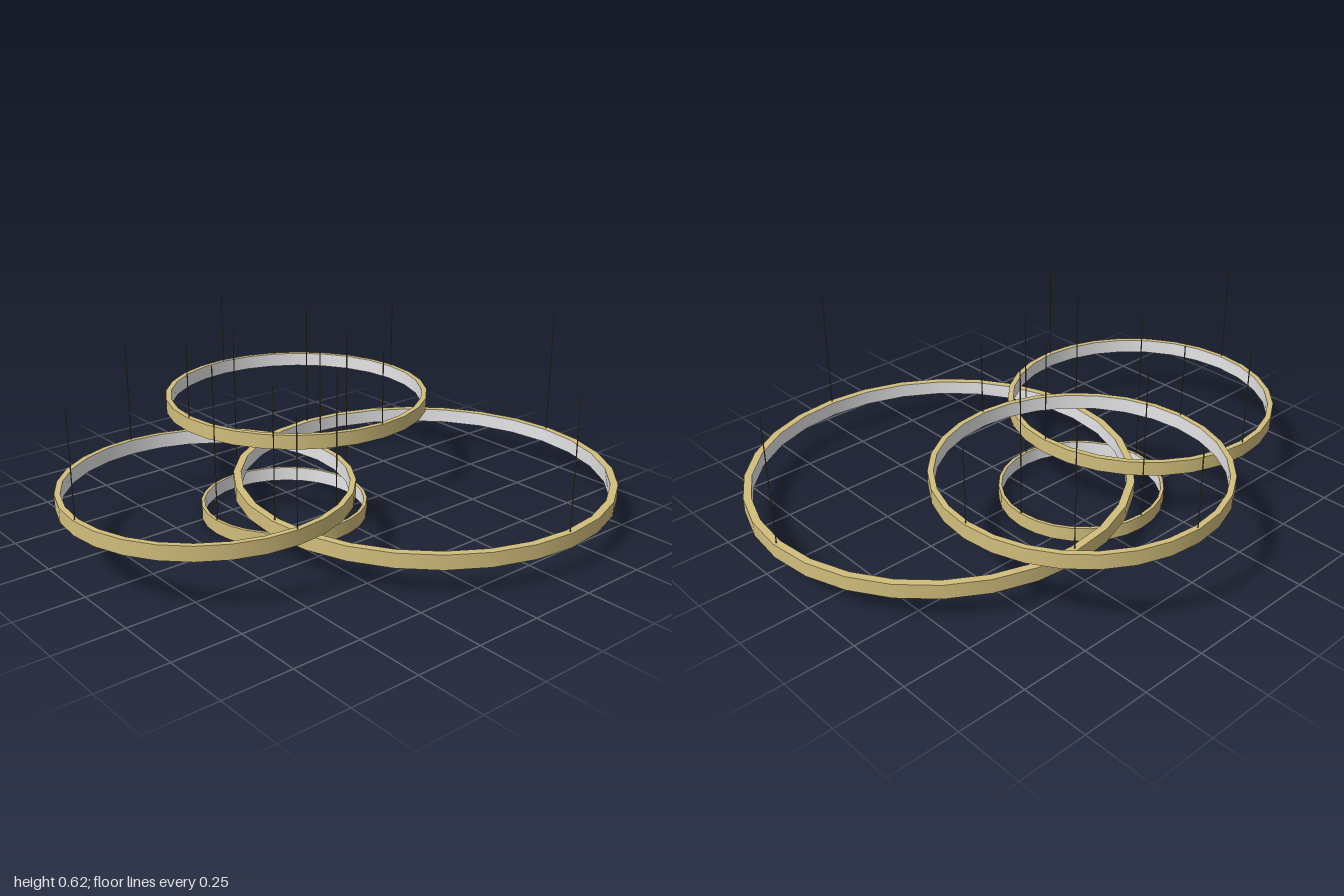
import * as THREE from 'three';
import { mergeGeometries } from 'three/addons/utils/BufferGeometryUtils.js';

const SIDES = 28;
const CEILING = 0.62;

// One face of a ring, swept between two (radius, height) points
function band(r0, y0, r1, y1) {
  return new THREE.LatheGeometry([new THREE.Vector2(r0, y0), new THREE.Vector2(r1, y1)], SIDES);
}

export function createModel() {
  const gold = new THREE.MeshStandardMaterial({ color: 0xd2be7c });
  gold.name = 'brushedGold';
  const diffuser = new THREE.MeshStandardMaterial({ color: 0xe6e6e8 });
  diffuser.name = 'whiteDiffuser';
  const cable = new THREE.MeshStandardMaterial({ color: 0x6b6148 });
  cable.name = 'darkCable';

  const model = new THREE.Group();
  model.name = 'ringChandelier';

  const rings = [
    { name: 'topRing', x: 0.15, z: -0.375, y: 0.298, r: 0.505 },
    { name: 'leftRing', x: -0.495, z: -0.047, y: 0.198, r: 0.505 },
    { name: 'largeRing', x: 0.3, z: 0.185, y: 0.1, r: 0.697 },
    { name: 'smallRing', x: -0.112, z: -0.119, y: 0, r: 0.304 },
  ];

  for (const { name, x, z, y, r } of rings) {
    const h = 0.053;
    const inner = r * 0.96;
    const ring = new THREE.Group();
    ring.name = name;
    ring.position.set(x, y, z);

    // Gold channel: outside, top and underside
    const shell = new THREE.Mesh(mergeGeometries([
      band(r, 0, r, h),
      band(r, h, inner, h),
      band(inner, 0, r, 0),
    ]), gold);
    shell.name = 'goldChannel';

    // Light strip facing the centre
    const strip = new THREE.Mesh(band(inner, h, inner, 0), diffuser);
    strip.name = 'lightStrip';
    ring.add(shell, strip);

    // Four suspension cables
    const bottom = h * 0.5;
    const length = CEILING - y - bottom;
    for (let i = 0; i < 4; i++) {
      const a = i * Math.PI / 2;
      const wire = new THREE.Mesh(new THREE.CylinderGeometry(0.002, 0.002, length, 8), cable);
      wire.name = 'suspensionCable';
      wire.position.set(Math.sin(a) * r * 0.982, bottom + length / 2, Math.cos(a) * r * 0.982);
      ring.add(wire);
    }
    model.add(ring);
  }
  return model;
}
